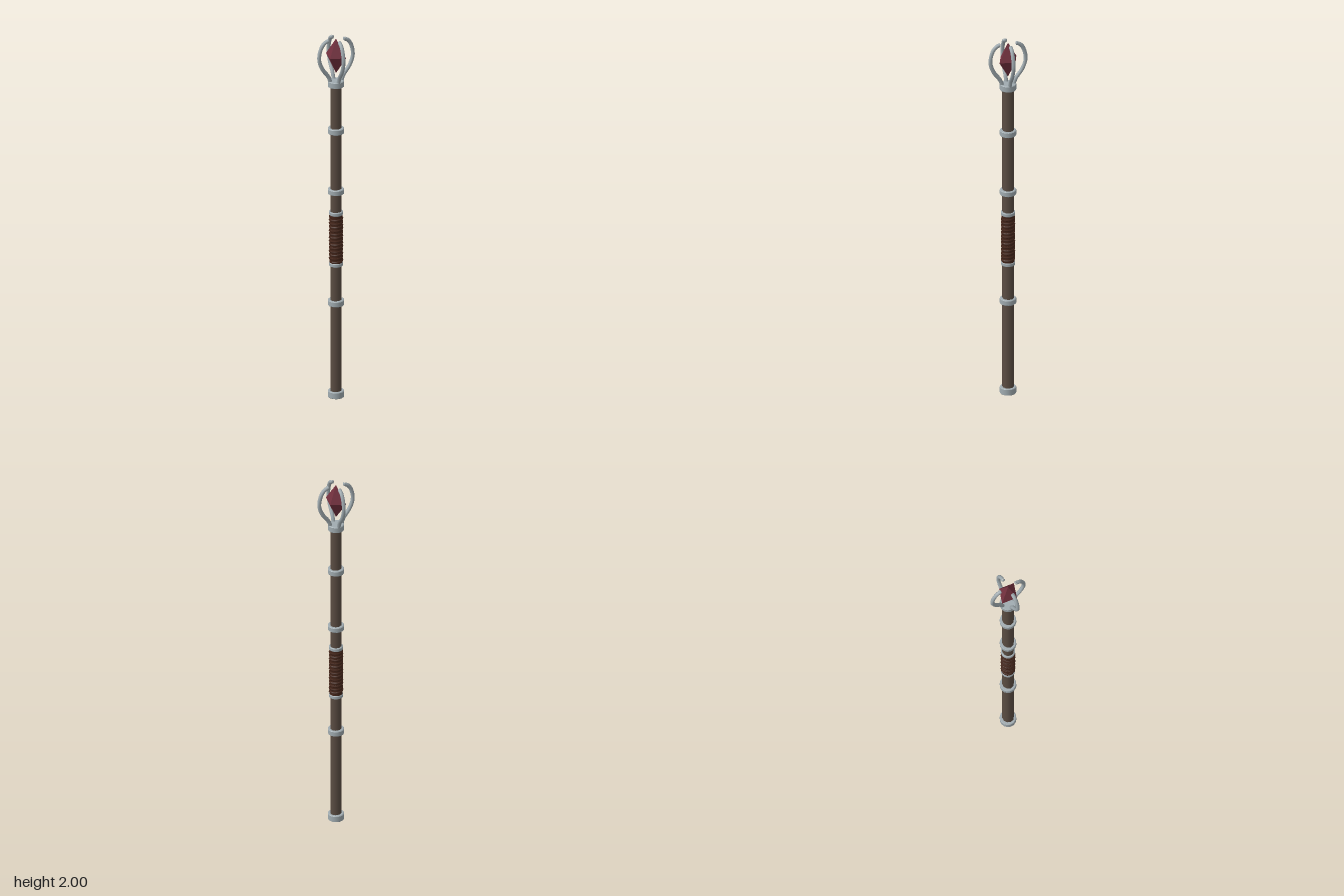
import * as THREE from 'three';

export function createModel() {
  const group = new THREE.Group();
  group.name = 'staff';

  const material = (name, color, flat = false) => {
    const m = new THREE.MeshStandardMaterial({ color, flatShading: flat });
    m.name = name;
    return m;
  };
  const wood = material('wood', 0x5b4d43);
  const metal = material('metal', 0xa0abb0);
  const leather = material('leather', 0x45261a);
  const gem = material('gem', 0x72303e, true);

  const add = (name, geometry, mat, y = 0) => {
    const mesh = new THREE.Mesh(geometry, mat);
    mesh.name = name;
    mesh.position.y = y;
    group.add(mesh);
    return mesh;
  };

  // Wooden shaft, slightly narrower across x
  const shaft = add('shaft', new THREE.CylinderGeometry(0.031, 0.031, 1.74, 10), wood, 0.88);
  shaft.scale.x = 0.92;

  // Metal bands: [name, centre height, radius, height]
  const bands = [
    ['footCap', 0.018, 0.043, 0.036],
    ['lowerBand', 0.527, 0.043, 0.03],
    ['gripBandLower', 0.741, 0.037, 0.02],
    ['gripBandUpper', 1.025, 0.037, 0.02],
    ['middleBand', 1.147, 0.043, 0.028],
    ['upperBand', 1.485, 0.043, 0.03],
    ['headCollar', 1.747, 0.043, 0.034],
  ];
  for (const [name, y, r, h] of bands) {
    // Lathe with a small bevel and split edges
    const b = 0.003;
    const p = [[0, -h / 2], [r - b, -h / 2], [r - b, -h / 2], [r, -h / 2 + b], [r, -h / 2 + b],
      [r, h / 2 - b], [r, h / 2 - b], [r - b, h / 2], [r - b, h / 2], [0, h / 2]];
    add(name, new THREE.LatheGeometry(p.map(([x, q]) => new THREE.Vector2(x, q)), 16), metal, y);
  }

  // Leather grip: a core with a spiral cord around it
  add('gripCore', new THREE.CylinderGeometry(0.034, 0.034, 0.27, 16), leather, 0.883);
  const turns = 13;
  const cord = [];
  for (let i = 0; i <= turns * 12; i++) {
    const a = (i / 12) * Math.PI * 2;
    cord.push(new THREE.Vector3(
      Math.sin(a) * 0.0305, 0.757 + (0.252 * i) / (turns * 12), Math.cos(a) * 0.0305));
  }
  add('gripWrap', new THREE.TubeGeometry(new THREE.CatmullRomCurve3(cord), turns * 14, 0.0075, 6), leather);

  // Four curved prongs with rounded tips
  const profile = [[0.03, 1.755], [0.043, 1.79], [0.078, 1.84], [0.095, 1.893],
    [0.085, 1.95], [0.066, 1.979], [0.046, 1.989]];
  const curve = new THREE.CatmullRomCurve3(profile.map(([x, y]) => new THREE.Vector3(x, y, 0)));
  const prongGeometry = new THREE.TubeGeometry(curve, 28, 0.0105, 8);
  const tipGeometry = new THREE.SphereGeometry(0.0105, 8, 6).scale(0.5, 1, 1);
  for (let i = 0; i < 4; i++) {
    const prong = new THREE.Group();
    prong.name = 'prong' + (i + 1);
    const arm = new THREE.Mesh(prongGeometry, metal);
    arm.name = 'prongArm';
    const tip = new THREE.Mesh(tipGeometry, metal);
    tip.name = 'prongTip';
    tip.position.set(0.046, 1.989, 0);
    prong.add(arm, tip);
    prong.rotation.y = -Math.PI / 6 + (i * Math.PI) / 2;
    group.add(prong);
  }

  // Faceted crystal
  add('crystal', new THREE.OctahedronGeometry(1).scale(0.064, 0.096, 0.052), gem, 1.9);

  return group;
}
